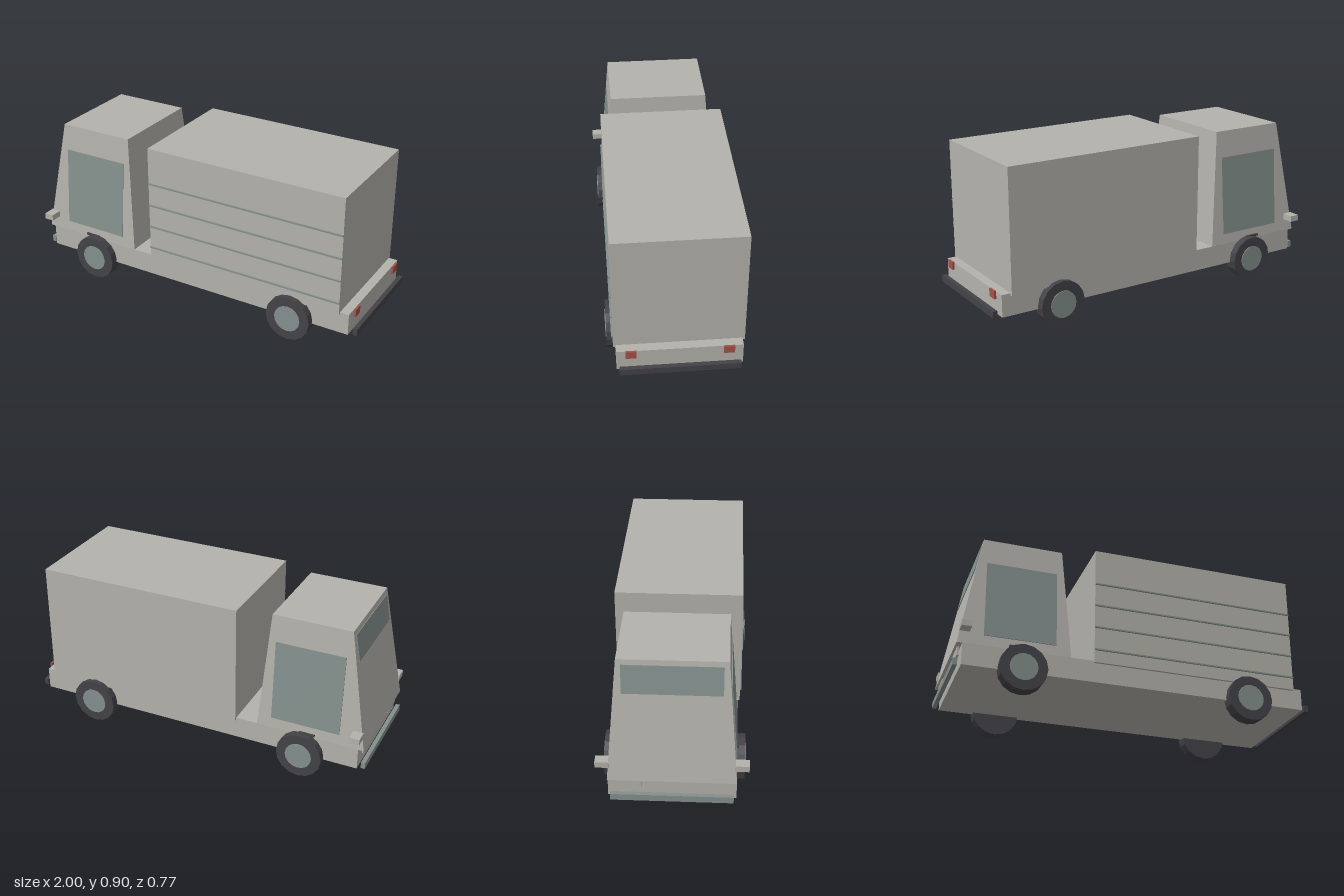
import * as THREE from 'three';

export function createModel() {
  const truck = new THREE.Group();
  truck.name = 'boxTruck';

  const material = (name, color) => {
    const m = new THREE.MeshStandardMaterial({ color });
    m.name = name;
    return m;
  };
  const paint = material('bodyGrey', 0xb4b2ac);
  const glass = material('glassGrey', 0x84908d);
  const rubber = material('darkRubber', 0x434248);
  const red = material('lampRed', 0xa4524a);

  const add = (name, geometry, mat, x = 0, y = 0, z = 0) => {
    const mesh = new THREE.Mesh(geometry, mat);
    mesh.name = name;
    mesh.position.set(x, y, z);
    truck.add(mesh);
    return mesh;
  };
  // Box given by its minimum and maximum on each axis
  const block = (name, mat, [x0, x1], [y0, y1], [z0, z1]) =>
    add(name, new THREE.BoxGeometry(x1 - x0, y1 - y0, z1 - z0), mat,
      (x0 + x1) / 2, (y0 + y1) / 2, (z0 + z1) / 2);

  // Chassis and cargo box
  block('chassis', paint, [-0.96, 0.955], [0.115, 0.237], [-0.327, 0.327]);
  block('cargoBox', paint, [-0.262, 0.904], [0.225, 0.9], [-0.34, 0.34]);

  // Trim rails on the left flank of the cargo box
  for (const y of [0.298, 0.43, 0.561, 0.692]) {
    block('sideRail', glass, [-0.262, 0.904], [y - 0.004, y + 0.004], [0.339, 0.348]);
  }

  // Cab: a box tapering from floor to roof
  const floorY = 0.235, roofY = 0.89, height = roofY - floorY;
  const cab = new THREE.BoxGeometry(1, 1, 1);
  const p = cab.attributes.position;
  for (let i = 0; i < p.count; i++) {
    const top = p.getY(i) > 0;
    const front = p.getX(i) < 0;
    p.setXYZ(i,
      front ? (top ? -0.875 : -0.99) : (top ? -0.437 : -0.385),
      top ? roofY : floorY,
      Math.sign(p.getZ(i)) * (top ? 0.275 : 0.327));
  }
  cab.computeVertexNormals();
  add('cab', cab, paint);

  // Windscreen plate, leaning with the front of the cab
  const rise = (y) => (y - floorY) / height;
  const screenY = 0.787;
  const screen = add('windscreen', new THREE.BoxGeometry(0.008, 0.152, 0.5), glass,
    -0.99 + 0.115 * rise(screenY), screenY, 0);
  screen.rotation.z = -Math.atan(0.115 / height);

  for (const s of [1, -1]) {
    const side = s > 0 ? 'left' : 'right';
    const zs = (a, b) => (s > 0 ? [a, b] : [-b, -a]);

    // Side window plate, leaning with the cab wall
    const winY = 0.518;
    const win = add(side + 'Window', new THREE.BoxGeometry(0.386, 0.447, 0.008), glass,
      -0.659, winY, s * (0.327 - 0.052 * rise(winY)));
    win.rotation.x = -s * Math.atan(0.052 / height);

    // Mirror, door handle and lamps
    block(side + 'Mirror', paint, [-0.98, -0.925], [0.305, 0.339], zs(0.315, 0.387));
    block(side + 'DoorHandle', rubber, [-0.718, -0.63], [0.246, 0.257], zs(0.32, 0.337));
    block(side + 'Headlamp', paint, [-0.977, -0.967], [0.185, 0.237], zs(0.153, 0.278));
    block(side + 'TailLamp', red, [0.962, 0.973], [0.203, 0.247], zs(0.224, 0.28));

    // Wheels with a pale hub disc
    for (const [place, x] of [['front', -0.645], ['rear', 0.622]]) {
      const tyre = new THREE.CylinderGeometry(0.128, 0.128, 0.072, 16).toNonIndexed();
      tyre.rotateX(Math.PI / 2);
      tyre.computeVertexNormals();
      add(`${place}${side}Tyre`, tyre, rubber, x, 0.128, s * 0.334);
      const hub = new THREE.CylinderGeometry(0.075, 0.075, 0.074, 16).toNonIndexed();
      hub.rotateX(Math.PI / 2);
      hub.computeVertexNormals();
      add(`${place}${side}Hub`, hub, glass, x, 0.128, s * 0.337);
    }
  }

  // Bumpers
  block('frontBumper', glass, [-1, -0.977], [0.115, 0.152], [-0.313, 0.313]);
  block('rearBumper', rubber, [0.975, 1], [0.115, 0.152], [-0.313, 0.313]);

  return truck;
}
